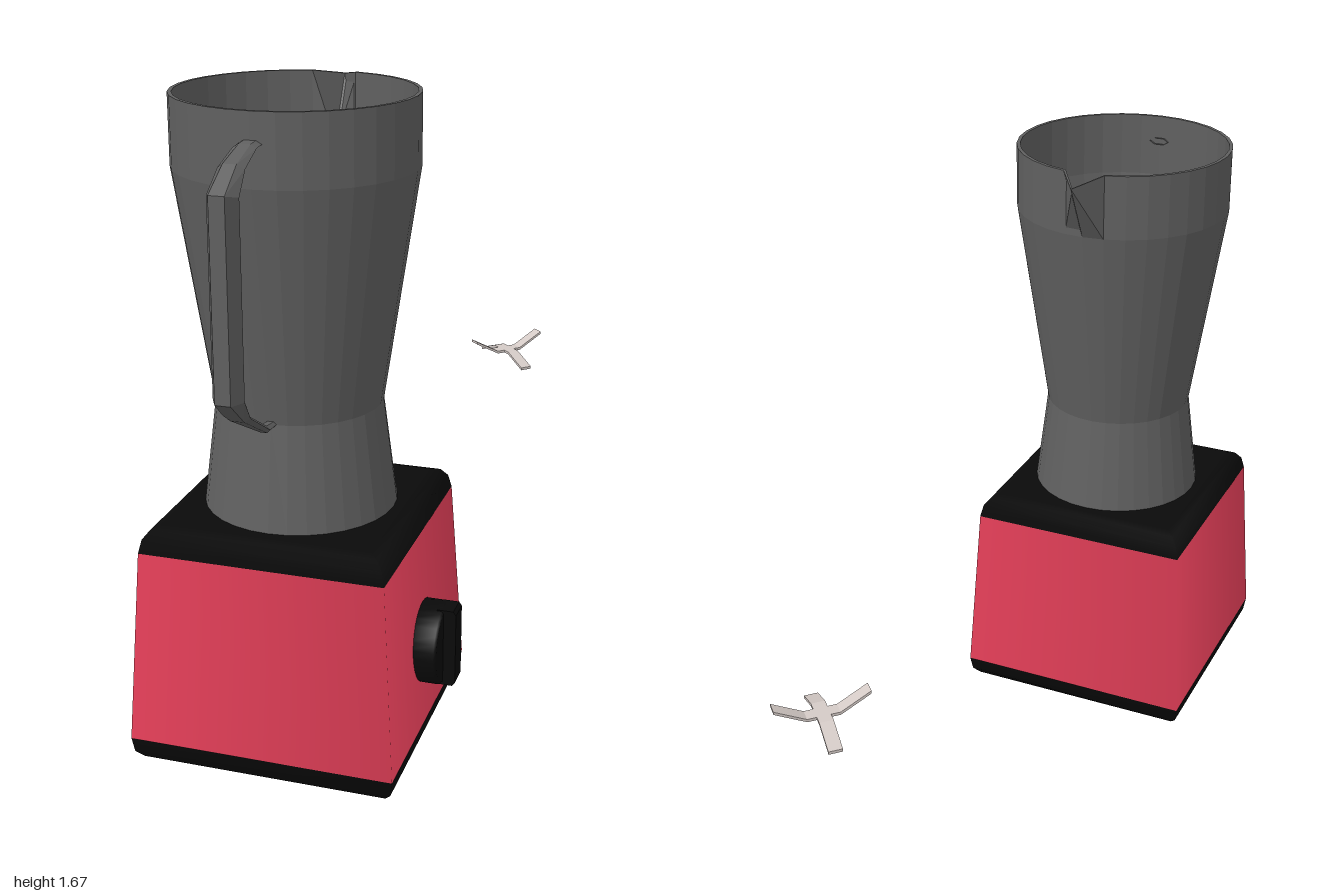
import * as THREE from 'three';

const mat = (color, opts = {}) => {
  const m = new THREE.MeshStandardMaterial({ color, ...opts });
  return m;
};

function add(parent, name, geometry, material) {
  const mesh = new THREE.Mesh(geometry, material);
  mesh.name = name;
  parent.add(mesh);
  return mesh;
}

const toPoints = (list) => list.map(([r, y]) => new THREE.Vector2(r, y));

// Square body: a four-sided lathe whose profile gives the half width at each height
function squareLathe(profile) {
  const pts = toPoints(profile.map(([h, y]) => [h * Math.SQRT2, y]));
  return new THREE.LatheGeometry(pts, 4, Math.PI / 4);
}

// Jug: outer wall, rim, inner wall, with one rim vertex drawn out as the spout
function jugGeometry() {
  const g = new THREE.LatheGeometry(toPoints([
    [0.245, 0.63], [0.21, 0.91], [0.3, 1.5], [0.3, 1.675],
    [0.29, 1.675], [0.29, 1.5], [0.2, 0.92], [0.13, 0.86], [0.13, 0.635],
  ]), 32);
  const p = g.attributes.position;
  for (let i = 0; i < p.count; i++) {
    if (p.getY(i) > 1.6 && p.getZ(i) < 0 && Math.abs(p.getX(i)) < 0.001) {
      p.setY(i, 1.657);
      p.setZ(i, p.getZ(i) - 0.082);
    }
  }
  g.computeVertexNormals();
  return g;
}

// Handle: six-sided sections lofted between outer and inner edge points
function handleGeometry() {
  // outer z, outer y, inner z, inner y, half width
  const stations = [
    [0.28, 1.612, 0.28, 1.594, 0.028],
    [0.33, 1.608, 0.33, 1.592, 0.028],
    [0.42, 1.582, 0.4, 1.56, 0.032],
    [0.5, 1.53, 0.428, 1.512, 0.038],
    [0.5, 1.06, 0.428, 1.06, 0.038],
    [0.417, 0.993, 0.426, 1.02, 0.034],
    [0.257, 0.907, 0.257, 0.925, 0.017],
    [0.2, 0.903, 0.2, 0.917, 0.014],
  ];
  const section = [[0.5, 0], [1, 0.5], [0.5, 1], [-0.5, 1], [-1, 0.5], [-0.5, 0]];
  const pos = [], idx = [], n = section.length;
  for (const [oz, oy, iz, iy, w] of stations) {
    for (const [sx, t] of section) pos.push(sx * w, oy + (iy - oy) * t, oz + (iz - oz) * t);
  }
  for (let s = 0; s < stations.length - 1; s++) {
    for (let k = 0; k < n; k++) {
      const a = s * n + k, b = s * n + (k + 1) % n;
      idx.push(a, b, a + n, b, b + n, a + n);
    }
  }
  const g = new THREE.BufferGeometry();
  g.setAttribute('position', new THREE.Float32BufferAttribute(pos, 3));
  g.setIndex(idx);
  g.computeVertexNormals();
  return g;
}

// Blade strip: flat in the middle, both ends bent by `lift`
function bladeGeometry(lift) {
  const t = 0.004, top = [[-0.122, lift], [-0.042, 0], [0.042, 0], [0.122, lift]];
  const outline = [
    ...top.map(([x, y]) => new THREE.Vector2(x, y - t)),
    ...top.map(([x, y]) => new THREE.Vector2(x, y + t)).reverse(),
  ];
  const g = new THREE.ExtrudeGeometry(new THREE.Shape(outline), { depth: 0.036, bevelEnabled: false });
  return g.translate(0, 0, -0.018);
}

export function createModel() {
  const model = new THREE.Group();
  model.name = 'blender';
  const black = mat(0x0a0a0a);
  const red = mat(0xe8405a);
  const glass = mat(0x606060, { flatShading: true, side: THREE.DoubleSide });
  const steel = mat(0xd4cac6, { flatShading: true });

  const machine = new THREE.Group();
  machine.name = 'machine';
  machine.position.set(-0.04, 0, 0.498);
  model.add(machine);

  // Motor base
  add(machine, 'foot', squareLathe([
    [0, 0], [0.295, 0], [0.32, 0.008], [0.338, 0.03], [0.344, 0.07],
  ]), black);
  add(machine, 'housing', squareLathe([[0.344, 0.07], [0.314, 0.575]]), red);
  add(machine, 'lid', squareLathe([
    [0.314, 0.575], [0.306, 0.61], [0.289, 0.632], [0.265, 0.64], [0, 0.64],
  ]), black);

  // Jug
  add(machine, 'jug', jugGeometry(), glass);
  add(machine, 'handle', handleGeometry(), glass);

  // Speed knob on the side: round disc with an upright grip
  const knob = new THREE.Group();
  knob.name = 'knob';
  knob.position.set(0.29, 0.285, 0.507);
  model.add(knob);
  const disc = new THREE.LatheGeometry(toPoints([
    [0, -0.02], [0.107, -0.02], [0.107, 0.052], [0.1, 0.058], [0, 0.058],
  ]), 32).rotateZ(-Math.PI / 2);
  add(knob, 'knobDisc', disc, black);
  const grip = new THREE.Shape(toPoints([
    [0.04, -0.105], [0.083, -0.105], [0.09, -0.095], [0.09, 0.095], [0.083, 0.105], [0.04, 0.105],
  ]));
  add(knob, 'knobGrip',
    new THREE.ExtrudeGeometry(grip, { depth: 0.06, bevelEnabled: false }).translate(0, 0, -0.03), black);

  // Loose blades: one strip bent up, the crossing one bent down
  const blades = new THREE.Group();
  blades.name = 'blades';
  blades.position.set(0.178, 0.608, -0.9);
  model.add(blades);
  add(blades, 'upperBlade', bladeGeometry(0.043), steel).rotation.y = Math.PI / 4;
  add(blades, 'lowerBlade', bladeGeometry(-0.03), steel).rotation.y = -Math.PI / 4;

  return model;
}
